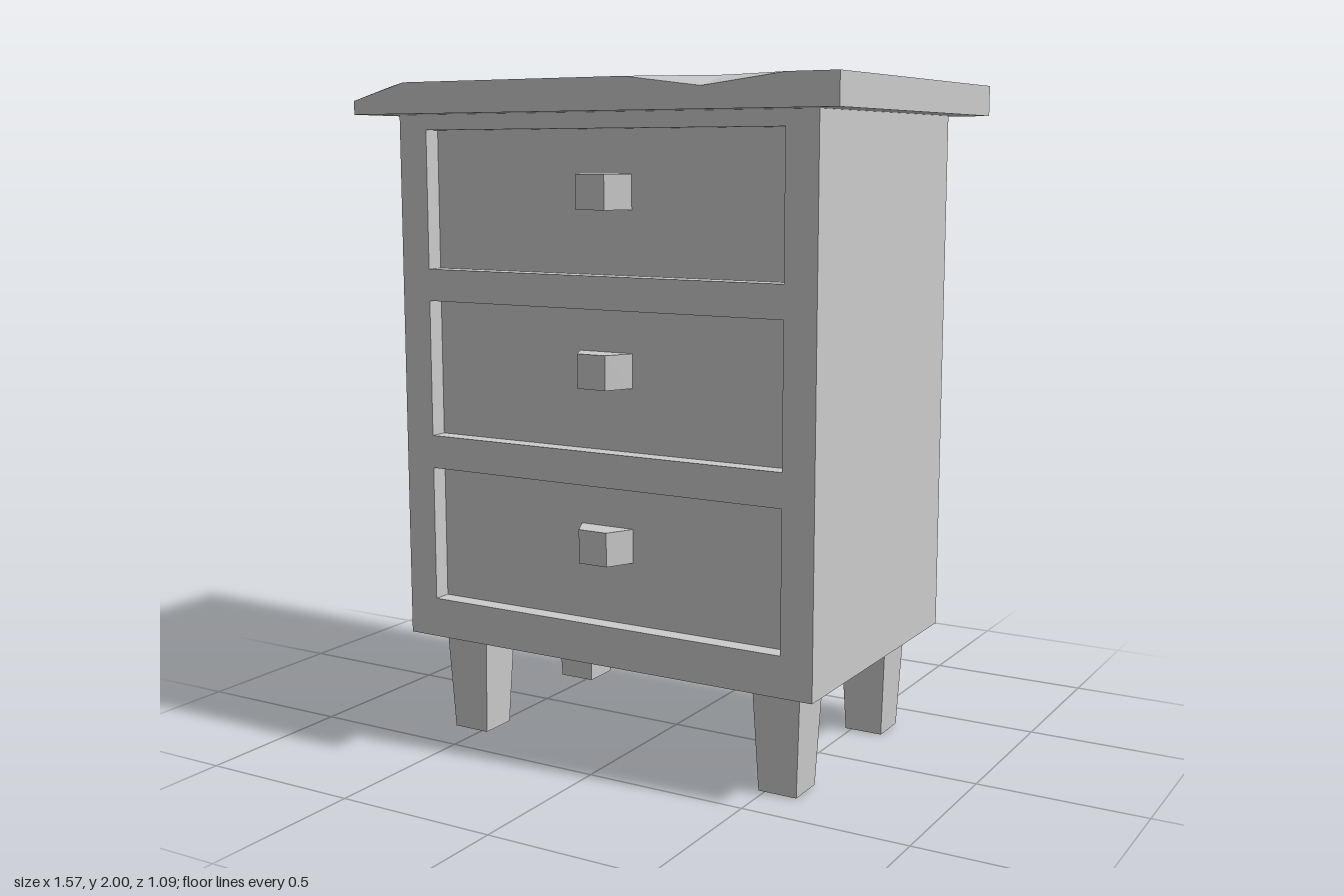
import * as THREE from 'three';

const material = new THREE.MeshStandardMaterial({ color: 0xcccccc, flatShading: true });

function addMesh(parent, name, geometry, x = 0, y = 0, z = 0) {
  const mesh = new THREE.Mesh(geometry, material);
  mesh.name = name;
  mesh.position.set(x, y, z);
  parent.add(mesh);
  return mesh;
}

// Flat polygons, each fanned out from its first corner
function polygonGeometry(faces) {
  const pos = [];
  for (const f of faces)
    for (let i = 1; i < f.length - 1; i++) pos.push(...f[0], ...f[i], ...f[i + 1]);
  const g = new THREE.BufferGeometry();
  g.setAttribute('position', new THREE.Float32BufferAttribute(pos, 3));
  g.computeVertexNormals();
  return g;
}

// Closed outline of [x, y] points
const outline = (pts, Type = THREE.Shape) => new Type(pts.map(p => new THREE.Vector2(...p)));
const rect = (x, y0, y1) => [[-x, y0], [x, y0], [x, y1], [-x, y1]];

// Slab with a broken corner and a chip in the front edge
function topGeometry() {
  const X = 0.787, Z = 0.545, Y0 = 1.91, Y1 = 2;
  const backL = [-X, Y1, -Z], backR = [X, Y1, -Z], frontR = [X, Y1, Z];
  const lowBL = [-X, Y0, -Z], lowBR = [X, Y0, -Z], lowFL = [-X, Y0, Z], lowFR = [X, Y0, Z];
  const cutSide = [-X, Y1, 0.37], cutFront = [-0.6, Y1, Z], cutLow = [-X, 1.95, Z];
  const chipL = [0.15, Y1, Z], chipR = [0.64, Y1, Z], chipIn = [0.42, Y1, 0.46], chipLow = [0.39, 1.97, Z];
  return polygonGeometry([
    [chipIn, chipR, frontR, backR, backL, cutSide, cutFront, chipL],
    [chipLow, chipL, cutFront, cutLow, lowFL, lowFR, frontR, chipR],
    [lowBL, lowFL, cutLow, cutSide, backL],
    [lowFR, lowBR, backR, frontR],
    [lowBR, lowBL, backL, backR],
    [lowBL, lowBR, lowFR, lowFL],
    [cutSide, cutLow, cutFront],
    [chipL, chipLow, chipIn],
    [chipIn, chipLow, chipR],
  ]);
}

export function createModel() {
  const model = new THREE.Group();
  model.name = 'nightstand';

  const W = 0.69, bottom = 0.32, top = 1.91, back = -0.455, front = 0.455, recess = 0.4;
  const drawers = [[0.44, 0.85], [0.95, 1.36], [1.455, 1.865]];

  // Cabinet, its front carrying the drawer faces
  addMesh(model, 'cabinet', new THREE.BoxGeometry(2 * W, top - bottom, recess - back),
    0, (top + bottom) / 2, (recess + back) / 2);

  // Front frame with one opening per drawer
  const frame = outline(rect(W, bottom, top));
  for (const [y0, y1] of drawers) frame.holes.push(outline(rect(0.592, y0, y1), THREE.Path));
  addMesh(model, 'frontFrame',
    new THREE.ExtrudeGeometry(frame, { depth: front - recess, bevelEnabled: false }), 0, 0, recess);

  // Handles: blocks with tapering sides, drawn in plan and extruded upwards
  const plan = outline([[-0.088, 0], [0.088, 0], [0.047, -0.08], [-0.047, -0.08]]);
  const handle = new THREE.ExtrudeGeometry(plan, { depth: 0.1, bevelEnabled: false })
    .rotateX(-Math.PI / 2);
  for (const [y0, y1] of drawers)
    addMesh(model, 'drawerHandle', handle, 0, (y0 + y1) / 2 - 0.02, recess);

  // Tabletop
  addMesh(model, 'tabletop', topGeometry());

  // Tapered square legs
  const leg = new THREE.CylinderGeometry(0.075 * Math.SQRT2, 0.06 * Math.SQRT2, bottom, 4)
    .rotateY(Math.PI / 4);
  for (const x of [-0.54, 0.54])
    for (const z of [-0.3, 0.3]) addMesh(model, 'leg', leg, x, bottom / 2, z);

  return model;
}
